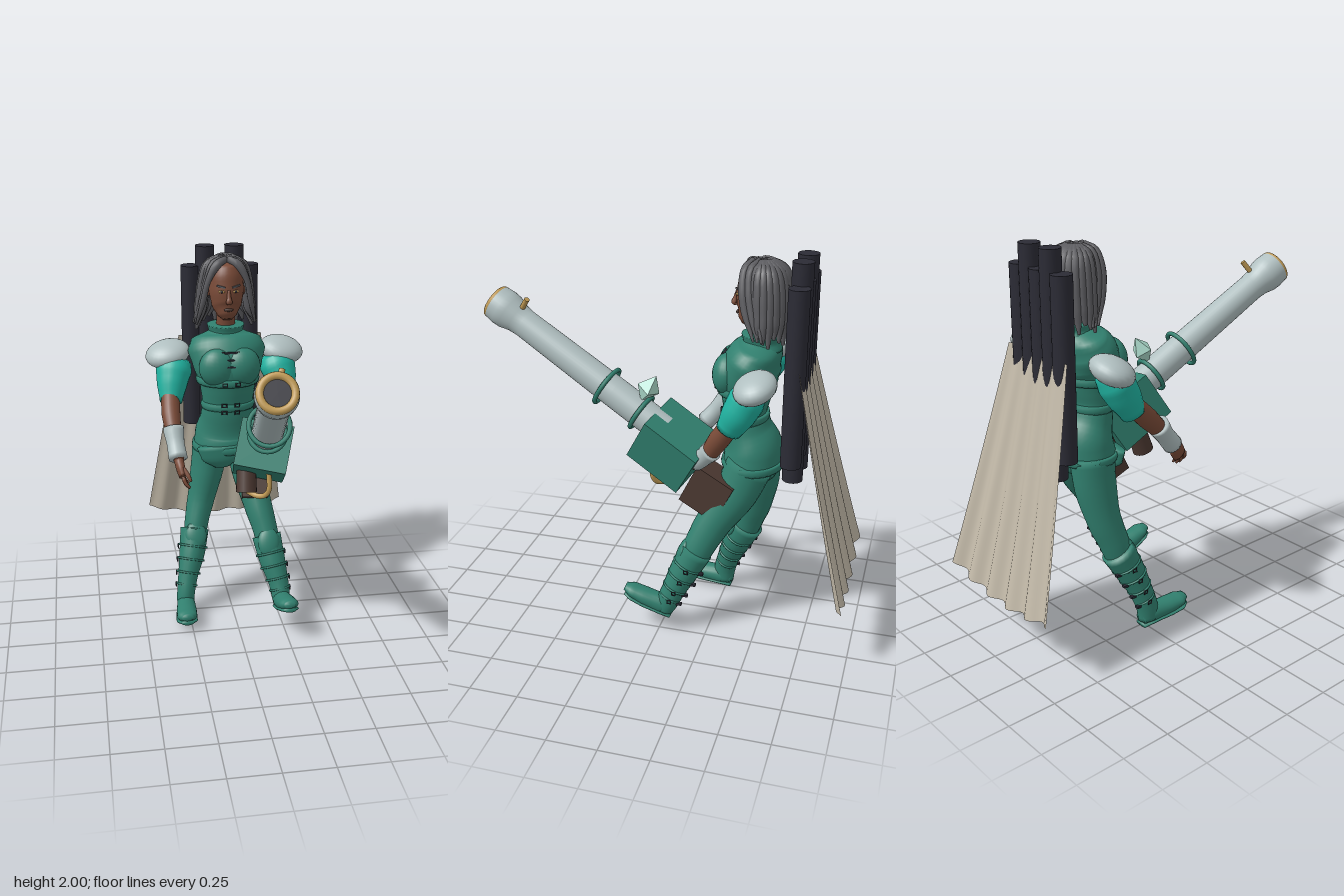
import * as THREE from 'three';

const V = (x, y, z) => new THREE.Vector3(x, y, z);
const colour = (name, color, side = THREE.FrontSide) => {
  const m = new THREE.MeshStandardMaterial({ color, side });
  m.name = name;
  return m;
};

// Smooth tube through rings [x, y, z, rx, rz], each set square to the path, with end caps
function loft(rings, seg = 20, sub = 4) {
  const path = new THREE.CatmullRomCurve3(rings.map(r => V(r[0], r[1], r[2])));
  const n = (rings.length - 1) * sub, pos = [], idx = [];
  for (let i = 0; i <= n; i++) {
    const t = i / n, c = path.getPoint(t), T = path.getTangent(t);
    const k = Math.min(Math.floor(i / sub), rings.length - 2), f = i / sub - k;
    const s = f * f * (3 - 2 * f) * 0.5 + f * 0.5;
    const rx = rings[k][3] + (rings[k + 1][3] - rings[k][3]) * s;
    const rz = rings[k][4] + (rings[k + 1][4] - rings[k][4]) * s;
    const U = V(1, 0, 0).addScaledVector(T, -T.x).normalize(), W = T.clone().cross(U);
    for (let j = 0; j < seg; j++) {
      const a = j / seg * Math.PI * 2;
      const p = c.clone().addScaledVector(U, Math.cos(a) * rx).addScaledVector(W, Math.sin(a) * rz);
      pos.push(p.x, p.y, p.z);
    }
  }
  for (let i = 0; i < n; i++) for (let j = 0; j < seg; j++) {
    const a = i * seg + j, b = i * seg + (j + 1) % seg;
    idx.push(a, b, b + seg, a, b + seg, a + seg);
  }
  for (const end of [0, n]) {
    const c = path.getPoint(end / n), m = pos.length / 3;
    pos.push(c.x, c.y, c.z);
    for (let j = 0; j < seg; j++) {
      const a = end * seg + j, b = end * seg + (j + 1) % seg;
      end ? idx.push(m, a, b) : idx.push(m, b, a);
    }
  }
  const g = new THREE.BufferGeometry();
  g.setAttribute('position', new THREE.Float32BufferAttribute(pos, 3));
  g.setIndex(idx);
  g.computeVertexNormals();
  return g;
}

export function createModel() {
  const root = new THREE.Group();
  const teal = colour('teal cloth', 0x31806f), bright = colour('bright sleeve', 0x20b2a0);
  const pale = colour('pale metal', 0xb0bfc0), hairM = colour('grey hair', 0x5c5c60);
  const skin = colour('skin', 0x7a4b38), cloth = colour('cape cloth', 0xc2b9a8, THREE.DoubleSide);
  const dark = colour('dark metal', 0x2b2b35), brown = colour('brown grip', 0x4b3831);
  const gold = colour('gold', 0xc09a55), mint = colour('crystal', 0xaeddce);
  mint.flatShading = true;

  const add = (name, geo, mat, p = [0, 0, 0], r = [0, 0, 0], parent = root) => {
    const m = new THREE.Mesh(geo, mat);
    m.name = name;
    m.position.set(...p);
    m.rotation.set(...r);
    parent.add(m);
    return m;
  };
  const box = (w, h, d) => new THREE.BoxGeometry(w, h, d);
  const ball = (x, y, z) => new THREE.SphereGeometry(1, 24, 16).scale(x, y, z);
  const hoop = (name, p, dir, r, tube) =>
    add(name, new THREE.TorusGeometry(r, tube, 8, 28), teal, p)
      .quaternion.setFromUnitVectors(V(0, 0, 1), V(...dir).normalize());
  const buckle = (p, w, h, ry = 0) => {
    const f = new THREE.TorusGeometry(0.7, 0.2, 6, 4).rotateZ(Math.PI / 4).scale(w, h, 0.02);
    add('buckle', f, dark, p, [0, ry, 0]);
  };

  // Torso, collar and belts
  add('jacket', loft([[0, .87, -.43, .15, .12], [0, .95, -.43, .183, .15], [0, 1.02, -.43, .175, .143],
    [0, 1.12, -.4, .147, .115], [0, 1.2, -.385, .137, .105], [0, 1.3, -.385, .15, .125], [0, 1.4, -.39, .185, .15],
    [0, 1.48, -.42, .21, .14], [0, 1.54, -.45, .185, .11], [0, 1.58, -.46, .09, .08]], 32), teal);
  add('collar', loft([[0, 1.54, -.45, .115, .105], [0, 1.58, -.45, .092, .09], [0, 1.615, -.45, .1, .098]], 24), teal);
  for (const s of [-1, 1]) add('chest', ball(.1, .105, .075), teal, [s * .065, 1.415, -.3]);
  for (const [y, z, rx, rz] of [[1.335, -.385, .168, .145], [1.19, -.387, .143, .113], [.94, -.43, .19, .157]])
    add('belt', loft([[0, y - .02, z, rx, rz], [0, y, z, rx + .005, rz + .005], [0, y + .02, z, rx, rz]], 32, 2), teal);
  for (const [y, z] of [[1.335, -.234], [1.21, -.266], [1.17, -.266]])
    for (const s of [-1, 1]) buckle([s * .035, y, z], .024, .018, s * .15);
  for (const [y, z] of [[1.5, -.268], [1.465, -.25], [1.43, -.24]]) {
    add('clasp', box(.075, .008, .012), dark, [0, y, z]);
    for (const s of [-1, 1]) buckle([s * .038, y, z + .003], .012, .012);
  }
  add('coatTail', loft([[-.05, .97, -.31, .13, .035], [-.045, .9, -.31, .11, .035], [-.04, .85, -.32, .05, .025]]), teal);

  // Legs and buckled boots
  const legs = [
    { hip: [[-.09, .95, -.44, .1, .12], [-.11, .8, -.44, .093, .112], [-.15, .62, -.42, .077, .09], [-.18, .5, -.385, .068, .08], [-.2, .38, -.35, .06, .07]],
      boot: [[-.195, .45, -.375, .08, .088], [-.215, .34, -.32, .073, .08], [-.25, .2, -.265, .055, .062], [-.265, .11, -.24, .05, .06], [-.268, .04, -.235, .048, .055]],
      foot: [[-.265, .045, -.28, .035, .032], [-.267, .06, -.22, .05, .055], [-.275, .07, -.11, .056, .045], [-.28, .08, -.04, .055, .034], [-.28, .09, 0, .03, .018]] },
    { hip: [[.09, .95, -.43, .1, .12], [.11, .8, -.37, .093, .112], [.15, .62, -.26, .077, .092], [.18, .5, -.2, .068, .082], [.2, .38, -.15, .06, .07]],
      boot: [[.185, .47, -.185, .08, .086], [.205, .36, -.13, .073, .078], [.235, .23, -.07, .055, .062], [.243, .16, -.04, .05, .058], [.245, .12, -.025, .045, .05]],
      foot: [[.245, .125, -.065, .035, .032], [.245, .15, -.01, .05, .055], [.248, .185, .08, .056, .045], [.25, .213, .145, .053, .034], [.25, .228, .185, .03, .018]] }];
  for (const { hip, boot, foot } of legs) {
    const s = Math.sign(hip[0][0]);
    add('leg', loft(hip), teal);
    add('boot', loft(boot), teal);
    add('foot', loft(foot), teal);
    add('sole', loft(foot.map(([x, y, z, rx]) => [x, y - .032, z, rx + .003, .013])), teal);
    const axis = boot[2].slice(0, 3).map((v, i) => v - boot[0][i]);
    const curve = new THREE.CatmullRomCurve3(boot.map(b => V(b[0], b[1], b[2])));
    for (const [t, r] of [[.2, .078], [.33, .072], [.45, .063], [.6, .055]]) {
      const p = curve.getPoint(t);
      hoop('bootStrap', p.toArray(), axis, r, .006);
      buckle([p.x + s * (r + .004), p.y, p.z - .01], .02, .018, Math.PI / 2);
      add('strapEnd', box(.02, .012, .03), dark, [p.x + s * r * .4, p.y - .025, p.z - r * .98]);
    }
    add('kneeGuard', ball(.06, .08, .03), teal, [boot[0][0], boot[0][1] - .01, boot[0][2] + .07], [-.4, 0, 0]);
  }

  // Arms, shoulder pads, cuffs
  for (const s of [-1, 1]) {
    add('shoulderPad', ball(.122, .066, .106), pale, [s * .312, 1.452, -.485], [.3, 0, -s * .2]);
    add('sleeve', loft([[s * .255, 1.455, -.475, .03, .04], [s * .27, 1.42, -.465, .085, .075], [s * .285, 1.37, -.44, .098, .09],
      [s * .298, 1.31, -.41, .084, .085], [s * (s < 0 ? .312 : .29), 1.215, -.36, .06, .064]]), bright);
  }
  add('rightForearm', loft([[-.312, 1.27, -.38, .05, .05], [-.32, 1.17, -.28, .05, .052], [-.31, 1.05, -.16, .035, .038], [-.3, .98, -.1, .028, .032]]), skin);
  add('leftForearm', loft([[.29, 1.25, -.375, .05, .05], [.27, 1.15, -.31, .05, .052], [.24, 1.04, -.24, .037, .04], [.19, .96, -.15, .028, .032]]), skin);
  add('rightCuff', loft([[-.316, 1.12, -.215, .056, .056], [-.31, 1.05, -.16, .047, .047], [-.303, .985, -.105, .05, .05]]), pale);
  add('leftCuff', loft([[.252, 1.08, -.27, .053, .053], [.235, 1.035, -.23, .046, .046], [.215, .99, -.18, .048, .048]]), pale);
  add('rightHand', loft([[-.302, .985, -.1, .026, .03], [-.295, .945, -.07, .024, .042], [-.287, .91, -.045, .02, .04]]), skin);
  for (let i = 0; i < 4; i++) {
    const z = -.075 + i * .021, l = i === 0 || i === 3 ? .05 : .062;
    add('finger', loft([[-.288, .915, z, .011, .011], [-.275, .915 - l * .6, z + .012, .01, .01], [-.255, .915 - l, z + .018, .006, .006]], 8, 3), skin);
  }
  add('thumb', loft([[-.285, .955, -.045, .013, .013], [-.262, .925, -.015, .012, .012], [-.25, .9, .005, .007, .007]], 8, 3), skin);
  add('leftHand', ball(.04, .04, .045), skin, [.17, .955, -.13]);

  // Head and face
  add('neck', loft([[0, 1.55, -.465, .06, .06], [0, 1.63, -.45, .05, .053], [0, 1.72, -.44, .052, .055]]), skin);
  add('head', loft([[0, 1.655, -.375, .025, .03], [0, 1.68, -.385, .052, .058], [0, 1.73, -.408, .08, .088], [0, 1.8, -.42, .092, .1],
    [0, 1.87, -.43, .091, .1], [0, 1.93, -.44, .075, .085], [0, 1.965, -.44, .03, .035]], 28), skin);
  add('nose', loft([[0, 1.82, -.327, .008, .01], [0, 1.78, -.318, .012, .014], [0, 1.76, -.311, .018, .015], [0, 1.748, -.322, .012, .006]], 12), skin);
  add('lips', ball(.026, .009, .008), brown, [0, 1.715, -.33]);
  for (const s of [-1, 1]) {
    add('eye', ball(.018, .007, .006), gold, [s * .037, 1.812, -.331], [0, s * .35, 0]);
    add('pupil', ball(.007, .007, .004), dark, [s * .037, 1.812, -.327], [0, s * .35, 0]);
    add('eyebrow', box(.045, .009, .009), hairM, [s * .04, 1.838, -.332], [0, s * .4, s * .18]);
    add('ear', ball(.012, .03, .02), skin, [s * .092, 1.8, -.44]);
  }

  // Hair: crown, hanging locks and parted fringe
  add('hairCrown', ball(.114, .112, .118), hairM, [0, 1.872, -.475]);
  for (let i = 0; i < 15; i++) {
    const a = (i / 14 - .5) * 3.5, sn = Math.sin(a), c = Math.cos(a), low = 1.59 + (i % 3) * .02;
    add('hairLock', loft([[sn * .03, 1.97, -.45 - c * .03, .02, .02], [sn * .092, 1.925, -.46 - c * .09, .03, .025],
      [sn * .118, 1.82, -.468 - c * .105, .034, .028], [sn * .135, 1.7, -.475 - c * .1, .033, .026],
      [sn * .16, low, -.475 - c * .105, .008, .008]], 10), hairM);
  }
  for (const s of [-1, 1]) for (let k = 0; k < 3; k++) {
    add('fringeLock', loft([[s * .006, 1.968, -.4 - k * .03, .018, .02], [s * (.055 + k * .01), 1.945, -.372 - k * .03, .024, .02],
      [s * (.103 + k * .004), 1.86, -.37 - k * .03, .016, .022], [s * (.127 + k * .004), 1.75, -.39 - k * .03, .016, .02],
      [s * (.158 + k * .006), 1.62, -.44 - k * .02, .006, .006]], 10), hairM);
  }

  // Tubes on the back
  for (const [x, top, bottom] of [[-.165, 1.895, 1], [-.085, 2, .89], [-.003, 1.895, 1], [.075, 2, .89], [.155, 1.895, 1]])
    add('backTube', new THREE.CylinderGeometry(.052, .052, top - bottom, 24), dark, [x, (top + bottom) / 2, -.645]);

  // Pleated cape
  const cape = new THREE.PlaneGeometry(1, 1, 60, 14), cp = cape.attributes.position;
  for (let i = 0; i < cp.count; i++) {
    const u = cp.getX(i) * 2, v = .5 - cp.getY(i);
    cp.setXYZ(i, u * (.232 + .178 * v), 1.5 - 1.21 * v + .055 * u * u * v,
      -.672 - .26 * v - .02 * v * v + (.005 + .013 * v) * Math.cos(u * Math.PI * 5));
  }
  cape.computeVertexNormals();
  add('cape', cape, cloth);

  // Cannon, built along local +z
  const gun = new THREE.Group();
  gun.name = 'cannon';
  gun.position.set(.13, 1.17, .1);
  gun.lookAt(.015, 1.67, .94);
  gun.updateMatrixWorld(true);
  root.add(gun);
  const part = (name, geo, mat, p, r) => add(name, geo, mat, p, r, gun);
  const at = (x, y, z) => gun.worldToLocal(V(x, y, z)).toArray();
  const profile = [[.08, -.12], [.079, .2], [.073, .78], [.078, .83], [.094, .88], [.097, .92], [.092, .968]];
  part('barrel', new THREE.LatheGeometry(profile.map(p => new THREE.Vector2(...p)), 32).rotateX(Math.PI / 2), pale);
  part('muzzleRing', new THREE.TorusGeometry(.075, .018, 10, 32), gold, [0, 0, .968]);
  part('bore', new THREE.CircleGeometry(.07, 28), dark, [0, 0, .971]);
  part('sight', new THREE.CylinderGeometry(.014, .014, .08, 12), gold, [.02, .1, .825], [-.1, 0, -.25]);
  part('barrelRing', new THREE.TorusGeometry(.1, .012, 8, 32), teal, [0, 0, .25]);
  part('rearRing', new THREE.TorusGeometry(.092, .012, 8, 32), teal, [0, 0, .03]);
  part('crystal', new THREE.OctahedronGeometry(1).scale(.06, .085, .06), mint, at(.145, 1.325, .08), [0, .4, 0]);
  part('housing', box(.27, .25, .315), teal, at(.135, 1.03, -.045), [0, 0, -.2]);
  part('stock', box(.14, .225, .215), brown, at(.125, .8, -.238), [.08, 0, 0]);
  part('foregrip', new THREE.CylinderGeometry(.05, .055, .14, 20), brown, at(.045, .885, -.025), [.2, 0, 0]);
  const guard = [[.15, .95, .05], [.15, .85, .06], [.13, .81, .04], [.09, .8, .01], [.05, .815, -.02]];
  add('triggerGuard', new THREE.TubeGeometry(new THREE.CatmullRomCurve3(guard.map(p => V(...p))), 24, .014, 10), gold);

  return root;
}
